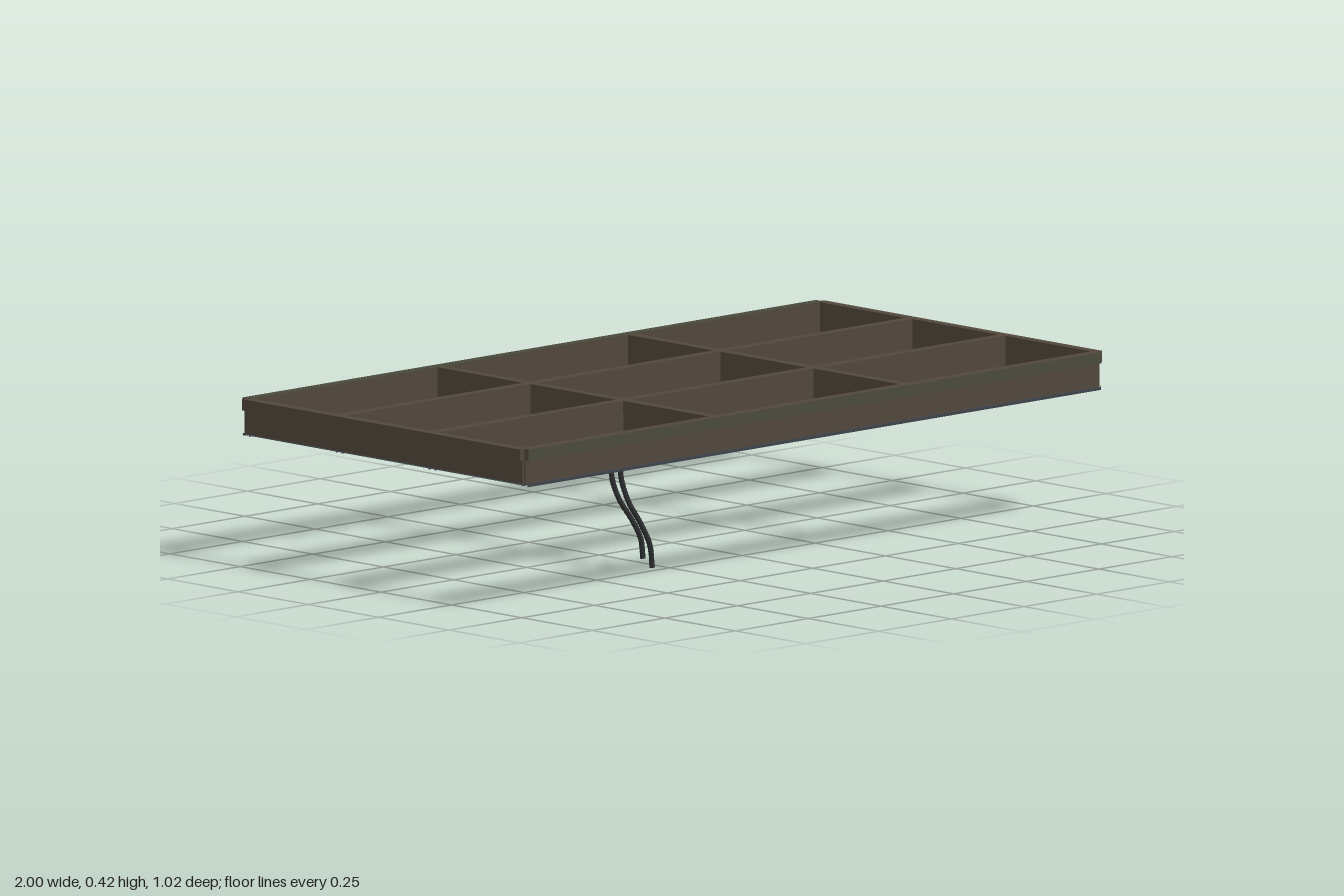
import * as THREE from 'three';

const material = (name, color) => {
  const m = new THREE.MeshStandardMaterial({ color });
  m.name = name;
  return m;
};

export function createModel() {
  const brown = material('weathered brown', 0x51473b);
  const moss = material('mossy brown', 0x494a3c);
  const steel = material('blue grey steel', 0x3c434a);
  const iron = material('brown iron', 0x4c443e);
  const black = material('dull black', 0x292b2d);
  const rust = material('rusty brown', 0x66483c);
  const model = new THREE.Group();
  model.name = 'grid frame';

  function box(name, mat, size, pos, parent = model) {
    const mesh = new THREE.Mesh(new THREE.BoxGeometry(...size), mat);
    mesh.position.set(...pos);
    mesh.name = name;
    parent.add(mesh);
    return mesh;
  }

  // T-shaped beam along x: wide cap, thin web, steel strip underneath
  function beam(name, length) {
    const g = new THREE.Group();
    g.name = name;
    box('cap', brown, [length, 0.028, 0.026], [0, 0.407, 0], g);
    box('web', brown, [length, 0.06, 0.008], [0, 0.363, 0], g);
    box('bottomStrip', steel, [length, 0.001, 0.022], [0, 0.3325, 0], g);
    model.add(g);
    return g;
  }

  // Four long beams, with lips that turn their bottom strips into channels
  for (const z of [-0.494, -0.165, 0.165, 0.494]) {
    const b = beam('longBeam', 1.97);
    b.position.z = z;
    for (const s of [-1, 1]) box('channelLip', steel, [1.97, 0.006, 0.001], [0, 0.329, s * 0.0105], b);
  }

  // Four cross beams
  for (const x of [-0.987, -0.327, 0.327, 0.987]) {
    const b = beam('crossBeam', 0.988);
    b.position.x = x;
    b.rotation.y = Math.PI / 2;
  }

  // Mossy faces on the outer caps, and along the top of the back one
  for (const s of [-1, 1]) box('mossyFace', moss, [1.97, 0.028, 0.001], [0, 0.407, s * 0.5075]);
  box('mossyTop', moss, [1.97, 0.001, 0.026], [0, 0.4215, -0.494]);

  // Hanging rail under the back beam
  const rail = new THREE.Mesh(new THREE.CylinderGeometry(0.005, 0.005, 1.255, 8), black);
  rail.rotation.z = Math.PI / 2;
  rail.position.set(-0.002, 0.267, -0.492);
  rail.name = 'hangingRail';
  model.add(rail);
  for (let i = 0; i < 9; i++) {
    box('railHanger', iron, [0.011, 0.064, 0.006], [-0.57 + i * 0.136, 0.3, -0.492]);
  }

  // Two hoses hanging from brackets, swaying towards the front
  [[-0.385, 0.03], [-0.353, 0.003]].forEach(([x, end]) => {
    box('hoseBracket', iron, [0.017, 0.053, 0.006], [x, 0.3055, 0.165]);
    box('bracketTab', rust, [0.017, 0.021, 0.006], [x, 0.2685, 0.166]);
    box('hoseClamp', black, [0.016, 0.014, 0.018], [x, 0.266, 0.178]);
    const path = new THREE.CatmullRomCurve3([
      [0, 0.268, 0.179], [0.003, 0.22, 0.184], [0.018, 0.165, 0.194], [0.046, 0.11, 0.207],
      [0.067, 0.055, 0.217], [0.073, 0, 0.219],
    ].map(([dx, y, z]) => new THREE.Vector3(x + dx, end + y * (0.268 - end) / 0.268, z)));
    const hose = new THREE.Mesh(new THREE.TubeGeometry(path, 40, 0.0063, 8), black);
    hose.name = 'hose';
    model.add(hose);
    // Ribs along the hose, the end ones closing it
    for (let i = 0; i <= 36; i++) {
      const rib = new THREE.Mesh(new THREE.CylinderGeometry(0.007, 0.007, 0.004, 8), black);
      rib.position.copy(path.getPointAt(i / 36));
      rib.quaternion.setFromUnitVectors(new THREE.Vector3(0, 1, 0), path.getTangentAt(i / 36));
      rib.name = 'hoseRib';
      model.add(rib);
    }
  });
  return model;
}
